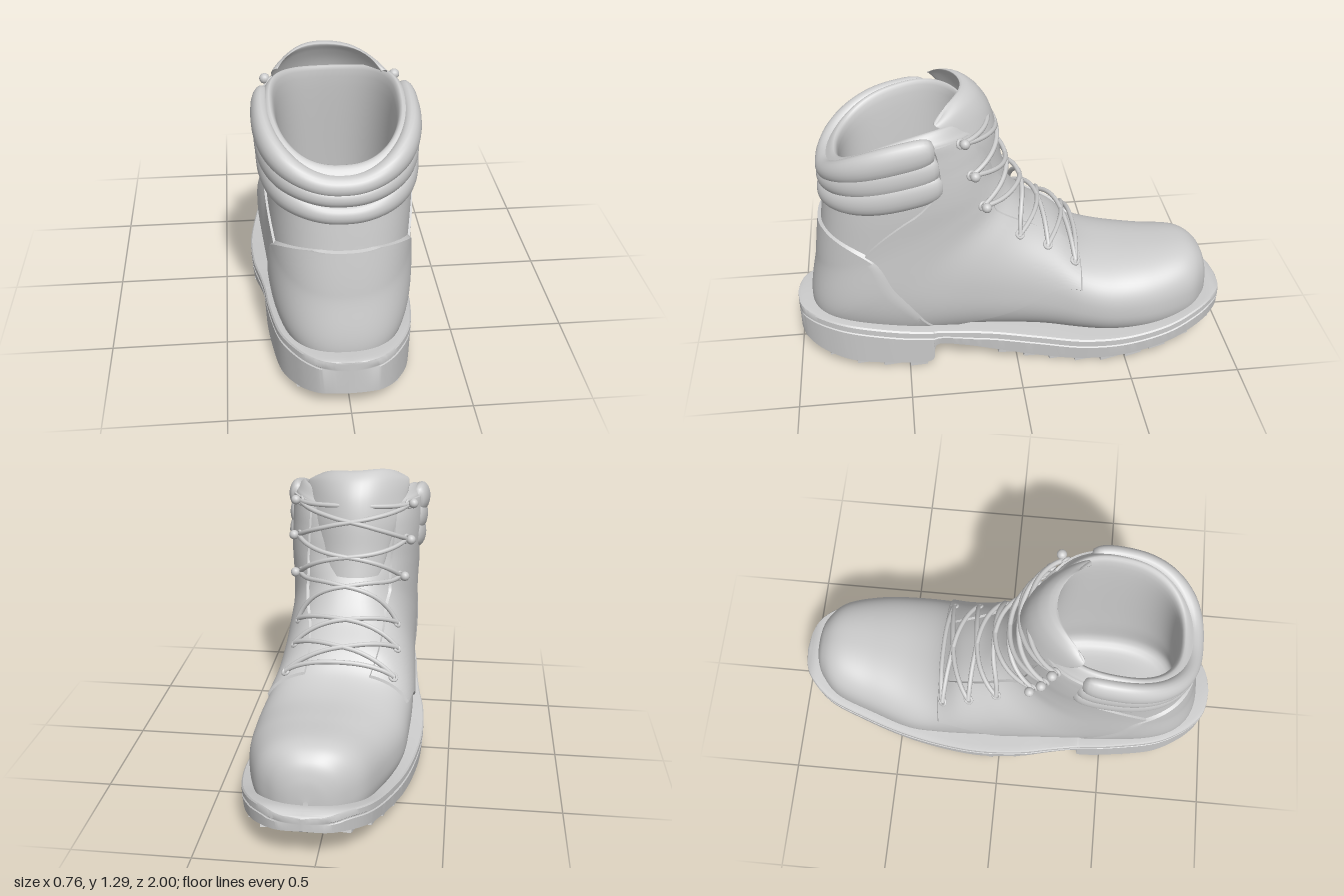
import * as THREE from 'three';
import { mergeVertices, toCreasedNormals } from 'three/addons/utils/BufferGeometryUtils.js';

const V = (x, y, z) => new THREE.Vector3(x, y, z);
const material = new THREE.MeshStandardMaterial({ color: 0xcccccc, side: THREE.DoubleSide });

// Boot sections from toe, round the ankle, up to the rim and down the lining:
// front/top point z, y | back/bottom point z, y | centre x | half width
const BOOT = [
  [-0.93, 0.25, -0.93, 0.23, 0.045, 0.01],
  [-0.92, 0.34, -0.92, 0.14, 0.045, 0.085],
  [-0.885, 0.415, -0.885, 0.1, 0.045, 0.155],
  [-0.8, 0.46, -0.81, 0.07, 0.045, 0.23],
  [-0.62, 0.458, -0.65, 0.05, 0.04, 0.288],
  [-0.44, 0.462, -0.46, 0.05, 0.015, 0.325],
  [-0.31, 0.505, -0.3, 0.06, 0, 0.325],
  [-0.21, 0.6, -0.08, 0.07, -0.02, 0.31],
  [-0.1, 0.68, 0.22, 0.08, -0.02, 0.3],
  [-0.03, 0.755, 0.62, 0.08, -0.01, 0.293],
  [0.01, 0.81, 0.9, 0.2, -0.01, 0.291],
  [0.04, 0.86, 0.878, 0.5, -0.01, 0.291],
  [0.07, 0.92, 0.848, 0.72, -0.01, 0.298],
  [0.09, 1.0, 0.83, 0.85, -0.015, 0.303],
  [0.12, 1.09, 0.825, 0.95, -0.02, 0.305],
  [0.16, 1.14, 0.81, 0.99, -0.02, 0.3],
  [0.2, 1.13, 0.75, 0.98, -0.02, 0.24],
  [0.13, 0.5, 0.79, 0.5, -0.01, 0.22],
  [0.15, 0.3, 0.8, 0.28, -0.01, 0.2],
  [0.475, 0.28, 0.475, 0.28, -0.01, 0],
];

// Sole sections: z | lowest x | highest x | top y | bottom y
const SOLE = [
  [-1.0, 0.05, 0.05, 0.215, 0.16], [-0.985, -0.05, 0.15, 0.225, 0.15],
  [-0.94, -0.125, 0.225, 0.235, 0.138], [-0.85, -0.2, 0.295, 0.215, 0.113],
  [-0.7, -0.255, 0.352, 0.175, 0.073], [-0.5, -0.315, 0.378, 0.145, 0.038],
  [-0.3, -0.355, 0.365, 0.135, 0.022], [-0.1, -0.377, 0.325, 0.145, 0.028],
  [0.1, -0.37, 0.295, 0.165, 0.06], [0.25, -0.345, 0.288, 0.18, 0.095],
  [0.37, -0.328, 0.296, 0.197, 0.115], [0.4, -0.325, 0.3, 0.2, 0.026],
  [0.55, -0.312, 0.3, 0.22, 0.028], [0.75, -0.278, 0.27, 0.245, 0.038],
  [0.88, -0.215, 0.21, 0.255, 0.06], [0.96, -0.145, 0.14, 0.26, 0.085],
  [0.99, -0.08, 0.075, 0.26, 0.1], [1.0, 0, 0, 0.258, 0.105],
];

// Smooth row of a table at a fractional index
function row(table, s) {
  const last = table.length - 1, i = Math.min(last - 1, Math.max(0, Math.floor(s))), t = s - i;
  const [a, b, c, d] = [-1, 0, 1, 2].map(k => table[Math.min(last, Math.max(0, i + k))]);
  return b.map((p, k) => p + 0.5 * t * (c[k] - a[k] + t * (2 * a[k] - 5 * p + 4 * c[k] - d[k] + t * (3 * (p - c[k]) + d[k] - a[k]))));
}

// Surface from a rule over u, v in 0..1
function grid(fn, nu, nv, crease) {
  const pos = [], idx = [];
  for (let i = 0; i <= nu; i++) for (let j = 0; j <= nv; j++) pos.push(...fn(i / nu, j / nv).toArray());
  for (let i = 0; i < nu; i++) for (let j = 0; j < nv; j++) {
    const a = i * (nv + 1) + j, b = a + nv + 1;
    idx.push(a, b, a + 1, b, b + 1, a + 1);
  }
  let g = new THREE.BufferGeometry();
  g.setAttribute('position', new THREE.Float32BufferAttribute(pos, 3));
  g.setIndex(idx);
  g = mergeVertices(g);
  g.computeVertexNormals();
  return crease ? toCreasedNormals(g, crease) : g;
}

// Point on the boot; angle 0 is the front/top line, positive towards +x
const rounded = v => Math.sign(v) * Math.abs(v) ** (2 / 2.4);
function skin(s, a) {
  const [tz, ty, bz, by, xc, w] = row(BOOT, s);
  const k = (1 + rounded(Math.cos(a))) / 2;
  const lift = 0.07 * Math.max(0, 1 - ((s - 15.5) / 2) ** 2); // rim rises at the sides
  return V(xc + w * rounded(Math.sin(a)), by + (ty - by) * k + lift * Math.sin(a) ** 2, bz + (tz - bz) * k);
}
function normal(s, a) {
  const e = 0.04;
  const ds = skin(s + e, a).sub(skin(s - e, a)), da = skin(s, a + e).sub(skin(s, a - e));
  return ds.cross(da).normalize();
}
const off = (s, a, d) => skin(s, a).addScaledVector(normal(s, a), d);

// Raised leather panel following the boot between two angles
function panel(s0, s1, range, thick) {
  const edge = t => t < 0.001 || t > 0.999;
  return grid((u, v) => {
    const s = s0 + (s1 - s0) * u, [a, b] = range(s);
    return off(s, a + (b - a) * v, edge(u) || edge(v) ? -0.006 : thick);
  }, 80, 40, 0.7);
}

export function createModel() {
  const boot = new THREE.Group();
  boot.name = 'boot';
  const add = (name, geometry, parent = boot) => {
    const m = new THREE.Mesh(geometry, material);
    m.name = name;
    parent.add(m);
    return m;
  };
  const group = name => { const g = new THREE.Group(); g.name = name; boot.add(g); return g; };

  // Upper with its lining
  add('upper', grid((u, v) => skin(u * (BOOT.length - 1), v * Math.PI * 2), 152, 80));

  // Quarter panels either side of the instep, running back under the heel counter
  const outer = [1.22, 1.5, 2.1, 2.5, 2.35, 2.1, 1.55, 1.3, 1.25, 1.25].map(a => [a]);
  const inner = s => 0.36 + 0.24 * Math.min(1, (s - 6) / 4);
  add('leftQuarter', panel(6.05, 14.8, s => [inner(s), row(outer, s - 6)[0]], 0.009));
  add('rightQuarter', panel(6.05, 14.8, s => [-row(outer, s - 6)[0], -inner(s)], 0.009));

  // Heel counter
  add('heelCounter', panel(8.4, 11.85, s => {
    const d = 0.02 + 1.45 * Math.sqrt(Math.max(0, 1 - ((s - 10) / 1.87) ** 2));
    return [Math.PI - d, Math.PI + d];
  }, 0.015));

  // Padded collar rolls, dipping at the back
  const collar = group('collar');
  [13.05, 13.75, 14.5].forEach((s, i) => add('collarRoll' + (i + 1), grid((u, v) => {
    const a = 1.2 + u * (Math.PI * 2 - 2.4), f = -v * Math.PI * 2;
    const taper = Math.sqrt(Math.max(0, 1 - (2 * u - 1) ** 24));
    const out = normal(s, a).setY(0).normalize();
    const up = (i === 2 ? 0.042 : 0.04) + 0.03 * Math.sin(a) ** 2;
    const p = off(s, a, -0.01).addScaledVector(out, (i === 2 ? 0.042 : 0.036) * taper * Math.cos(f));
    p.y += up * taper * Math.sin(f) - 0.02 * Math.exp(-(((a - Math.PI) / 0.45) ** 2));
    return p;
  }, 72, 20), collar));

  // Tongue: height, front z, half width, wrap
  const tongue = [[0.84, 0.05, 0.13, 0.04], [0.95, 0.075, 0.16, 0.06], [1.08, 0.093, 0.2, 0.1],
    [1.18, 0.12, 0.23, 0.16], [1.25, 0.16, 0.235, 0.17], [1.29, 0.2, 0.21, 0.14]];
  add('tongue', grid((u, v) => {
    const [y, z, w, wrap] = row(tongue, u * 5), f = v * Math.PI * 2, c = Math.cos(f);
    const thick = 0.034 * Math.sqrt(1 - u ** 8);
    return V(-0.03 + w * c, y - u ** 3 * (0.07 * c ** 4 + 0.015 * c), z + wrap * c * c + thick * Math.sin(f));
  }, 36, 48));

  // Eyelets, hooks and criss-cross laces: section, angle
  const holes = [[6.4, 0.75], [7.4, 0.75], [8.4, 0.75], [11, 0.8], [13, 0.85], [14.5, 0.85]];
  const laces = group('laces'), hardware = group('eyeletsAndHooks');
  const lace = (s0, a0, s1, a1) => {
    const pts = [], bulge = s1 > 10 ? 0.036 : 0.014;
    for (let i = 0; i <= 12; i++) {
      const t = i / 12;
      pts.push(off(s0 + (s1 - s0) * t, a0 + (a1 - a0) * t, 0.016 + bulge * Math.sin(Math.PI * t)));
    }
    add('lace', new THREE.TubeGeometry(new THREE.CatmullRomCurve3(pts), 32, 0.011, 8), laces);
  };
  lace(6.4, -0.75, 6.4, 0.75);
  lace(14.5, -0.85, 14.5, 0.85);
  holes.forEach(([s, a], i) => {
    for (const side of [-1, 1]) {
      const next = holes[i + 1];
      if (next) lace(s, side * a, next[0], -side * next[1]);
      const n = normal(s, side * a), hook = i > 2;
      const ring = add(hook ? 'hookBase' : 'eyelet', new THREE.TorusGeometry(0.017, 0.007, 8, 16), hardware);
      ring.position.copy(off(s, side * a, 0.012));
      ring.quaternion.setFromUnitVectors(V(0, 0, 1), n);
      if (hook) {
        const post = add('hookPost', new THREE.CylinderGeometry(0.01, 0.01, 0.04, 10), hardware);
        post.position.copy(off(s, side * a, 0.025));
        post.quaternion.setFromUnitVectors(V(0, 1, 0), n);
        const knob = add('hookKnob', new THREE.SphereGeometry(0.022, 14, 10), hardware);
        knob.position.copy(off(s, side * a, 0.04));
      }
    }
  });

  // Sole with welt line: inset from edge, depth below top (1 means the bottom)
  const half = [[0.03, 0], [0.006, 0.003], [0, 0.01], [0, 0.034], [0.006, 0.038], [0.006, 0.043], [0, 0.047], [0.006, 1]];
  const loop = [null, ...half.map(p => [1, ...p]), null, ...half.map(p => [-1, ...p]).reverse(), null];
  add('sole', grid((u, v) => {
    const [z, x0, x1, top, bottom] = row(SOLE, u * (SOLE.length - 1));
    const i = Math.round(v * (loop.length - 1)), p = loop[i], mid = (x0 + x1) / 2, w = Math.max(0, (x1 - x0) / 2);
    if (!p) return V(mid, i === half.length + 1 ? bottom : top, z);
    const [side, inset, depth] = p, k = Math.min(1, (top - bottom) / 0.09);
    return V(mid + side * (w - inset * Math.min(1, w / 0.1)), depth === 1 ? bottom : top - depth * k, z);
  }, 136, loop.length - 1, 0.6));

  // Tread lugs and shank ribs under the sole
  const tread = group('tread');
  const soleAt = z => {
    let lo = 0, hi = SOLE.length - 1;
    for (let i = 0; i < 30; i++) { const m = (lo + hi) / 2; if (row(SOLE, m)[0] < z) lo = m; else hi = m; }
    return row(SOLE, lo);
  };
  const block = (name, x, z, w, h, d, turn) => {
    const slope = Math.atan((soleAt(z + 0.03)[4] - soleAt(z - 0.03)[4]) / 0.06);
    const m = add(name, new THREE.BoxGeometry(w, h, d), tread);
    m.position.set(x, soleAt(z)[4] + 0.02 - h / 2, z);
    m.rotation.set(-slope, turn, 0);
  };
  for (let i = 0; i < 13; i++) {
    const z = i < 9 ? -0.87 + i * 0.116 : 0.47 + (i - 9) * 0.12;
    const ends = [soleAt(z - 0.045), soleAt(z + 0.045)];
    const x0 = Math.max(ends[0][1], ends[1][1]), x1 = Math.min(ends[0][2], ends[1][2]);
    const w = (x1 - x0) / 2, mid = (x0 + x1) / 2;
    for (const side of [-1, 1]) {
      block('edgeLug', mid + side * (w * 0.74 - 0.01), z, w * 0.52, 0.038, 0.08, side * 0.15);
      block('centreLug', mid + side * w * 0.22, z + 0.04, w * 0.4, 0.036, 0.065, -side * 0.5);
    }
  }
  for (let i = 0; i < 8; i++) block('shankRib', -0.03, 0.13 + i * 0.027, 0.54, 0.026, 0.013, 0);
  block('shankPlate', -0.03, 0.23, 0.16, 0.034, 0.13, 0);

  return boot;
}
